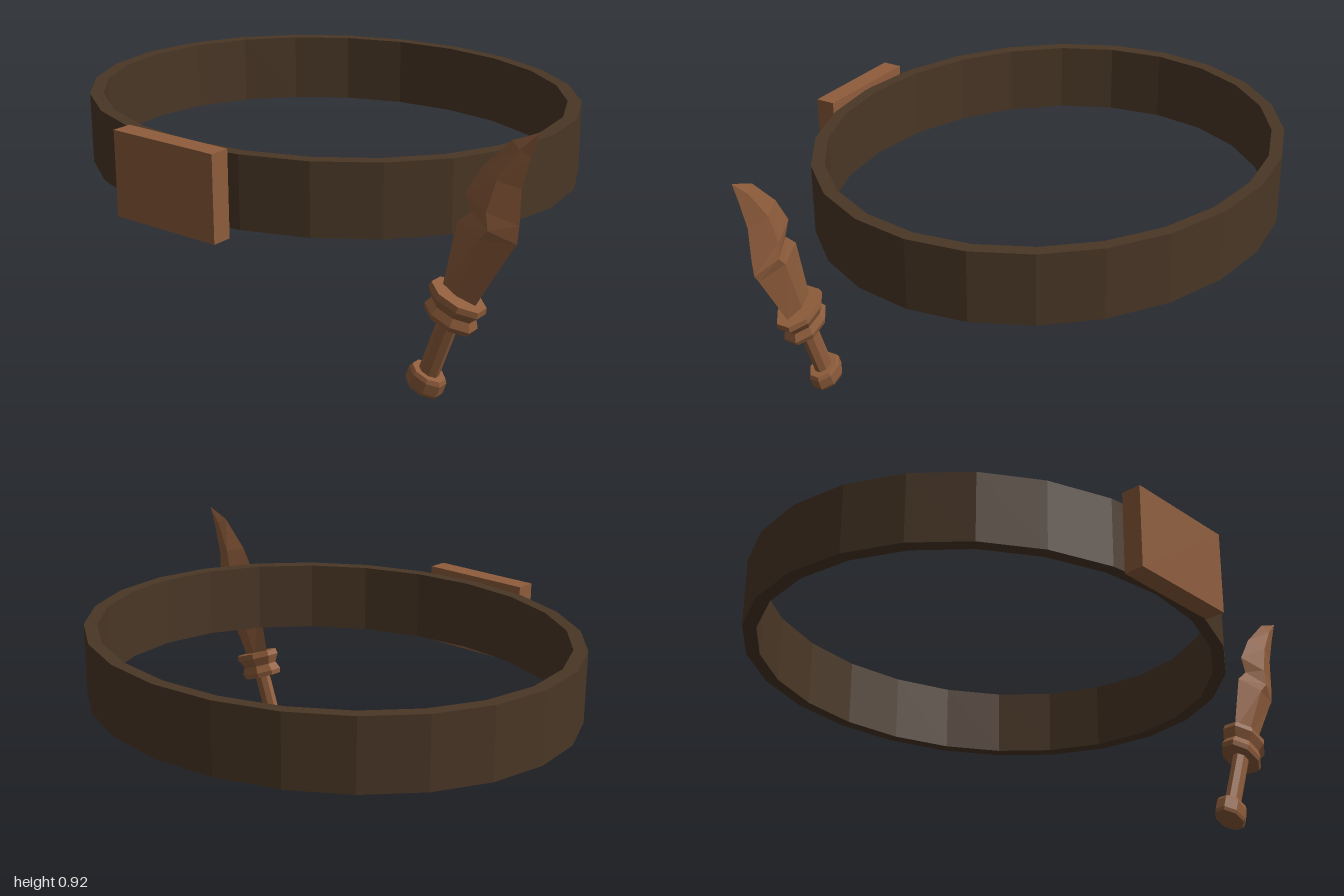
import * as THREE from 'three';

export function createModel() {
  const leather = new THREE.MeshStandardMaterial({ color: 0x4a3726, flatShading: true });
  leather.name = 'dark leather';
  const bronze = new THREE.MeshStandardMaterial({ color: 0x8f5d3c, flatShading: true });
  bronze.name = 'bronze';

  const model = new THREE.Group();
  model.name = 'beltWithDagger';

  const add = (parent, name, geometry, material) => {
    const mesh = new THREE.Mesh(geometry, material);
    mesh.name = name;
    parent.add(mesh);
    return mesh;
  };
  const lathe = (points, sides, start = 0) =>
    new THREE.LatheGeometry(points.map(([r, y]) => new THREE.Vector2(r, y)), sides, start);

  // Belt: a 24-sided oval band with a rectangular section
  const belt = add(model, 'beltBand',
    lathe([[0.84, 0.525], [0.889, 0.525], [0.889, 0.77], [0.84, 0.77], [0.84, 0.525]], 24), leather);
  belt.scale.z = 0.88;
  belt.position.set(-0.111, 0, -0.036);

  // Buckle: a plain plate on the front
  add(model, 'buckle', new THREE.BoxGeometry(0.415, 0.29, 0.07), bronze)
    .position.set(-0.11, 0.645, 0.779);

  // Dagger: built upright along y, then tilted
  const dagger = new THREE.Group();
  dagger.name = 'dagger';
  dagger.position.set(0.612, 0.024, 0.43);
  dagger.rotation.z = -THREE.MathUtils.degToRad(20);
  model.add(dagger);

  // Eight-sided hilt parts, flattened front to back; radius is across the flats
  const hiltPart = (name, points, flatten) => {
    const k = 1 / Math.cos(Math.PI / 8);
    const mesh = add(dagger, name, lathe(points.map(([r, y]) => [r * k, y]), 8, Math.PI / 8), bronze);
    mesh.scale.z = flatten;
  };
  hiltPart('pommel', [[0, 0], [0.057, 0], [0.062, 0.012], [0.062, 0.052], [0.055, 0.066], [0, 0.066]], 0.72);
  hiltPart('grip', [[0, 0.06], [0.033, 0.06], [0.033, 0.29], [0, 0.29]], 0.7);
  hiltPart('guard', [[0, 0.272], [0.082, 0.272], [0.088, 0.29], [0.074, 0.318],
    [0.094, 0.35], [0.09, 0.37], [0, 0.37]], 0.65);

  // Blade: diamond sections [spine x, spine y, edge x, edge y, half thickness]
  const sections = [
    [-0.061, 0.36, 0.061, 0.36, 0.014],
    [-0.092, 0.584, 0.105, 0.6, 0.032],
    [-0.062, 0.641, 0.113, 0.632, 0.035],
    [-0.1, 0.683, 0.098, 0.69, 0.034],
    [-0.081, 0.787, 0.062, 0.797, 0.026],
    [-0.021, 0.917, 0.053, 0.9, 0.011],
    [0.049, 0.979, 0.05, 0.978, 0.0005],
  ];
  const positions = [];
  const index = [];
  sections.forEach(([lx, ly, rx, ry, h], row) => {
    const mx = (lx + rx) / 2, my = (ly + ry) / 2;
    positions.push(lx, ly, 0, mx, my, h, rx, ry, 0, mx, my, -h);
    if (row === 0) return;
    for (let i = 0; i < 4; i++) {
      const j = (i + 1) % 4, lo = (row - 1) * 4, hi = row * 4;
      index.push(lo + i, lo + j, hi + j, lo + i, hi + j, hi + i);
    }
  });
  index.push(0, 2, 1, 0, 3, 2);
  const blade = new THREE.BufferGeometry();
  blade.setAttribute('position', new THREE.Float32BufferAttribute(positions, 3));
  blade.setIndex(index);
  blade.computeVertexNormals();
  add(dagger, 'blade', blade, bronze);

  return model;
}
